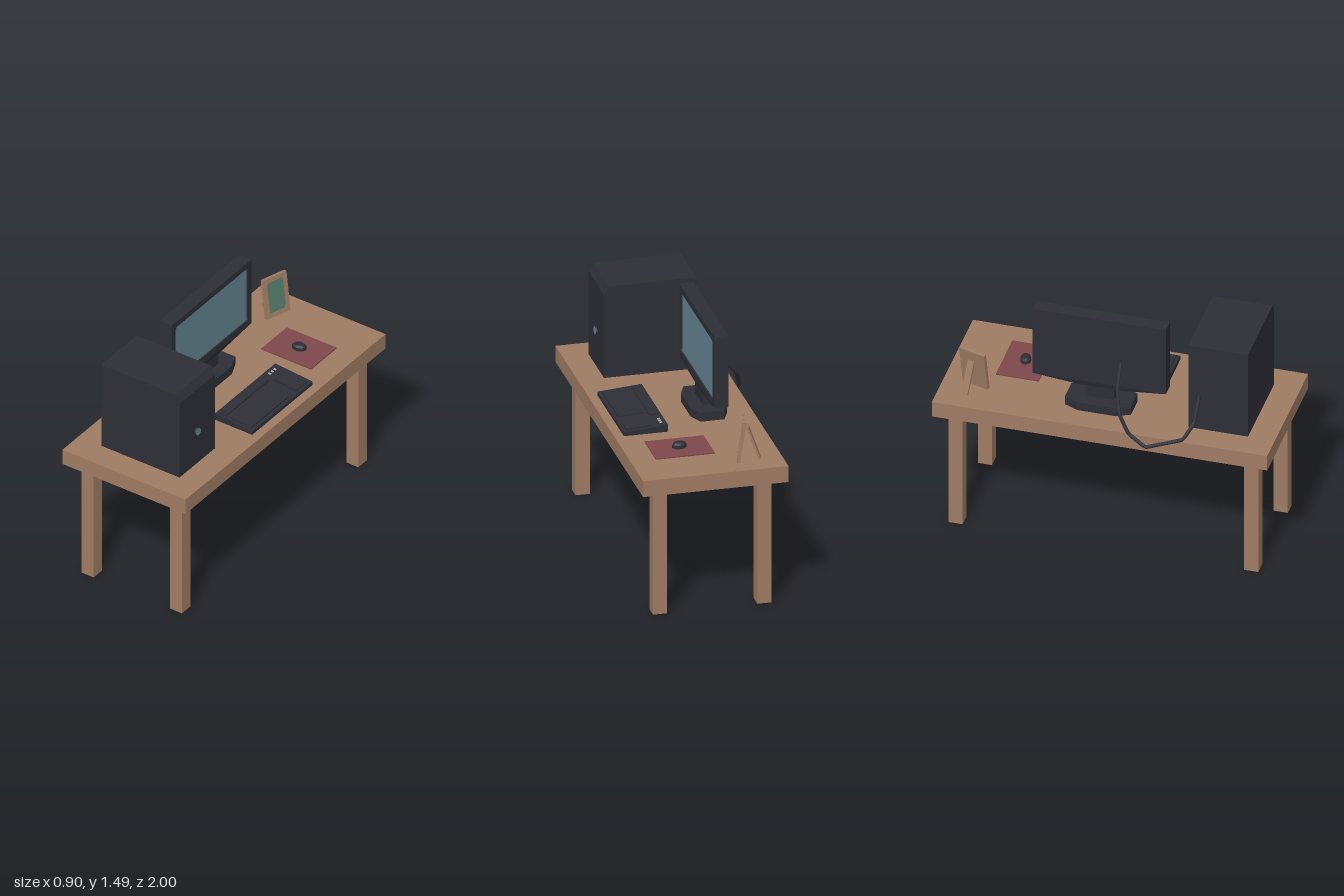
import * as THREE from 'three';

const mat = (name, color, side = THREE.FrontSide) => {
  const m = new THREE.MeshStandardMaterial({ color, side });
  m.name = name;
  return m;
};

export function createModel() {
  const wood = mat('wood', 0x9f7b63);
  const dark = mat('dark plastic', 0x2e2e37);
  const glass = mat('screen blue', 0x62838f);
  const padRed = mat('pad red', 0x7d474a);
  const photoGreen = mat('photo green', 0x537b69);
  const light = mat('indicator grey', 0xb4b6b8);
  const TOP = 0.877; // table surface height

  const root = new THREE.Group();
  root.name = 'computerDesk';

  const add = (parent, name, geometry, material, x = 0, y = 0, z = 0) => {
    const mesh = new THREE.Mesh(geometry, material);
    mesh.name = name;
    mesh.position.set(x, y, z);
    parent.add(mesh);
    return mesh;
  };
  // Box given by its limits on each axis
  const box = (parent, name, material, [x0, x1], [y0, y1], [z0, z1]) =>
    add(parent, name, new THREE.BoxGeometry(x1 - x0, y1 - y0, z1 - z0), material,
      (x0 + x1) / 2, (y0 + y1) / 2, (z0 + z1) / 2);
  const group = (name, x = 0, y = 0, z = 0) => {
    const g = new THREE.Group();
    g.name = name;
    g.position.set(x, y, z);
    root.add(g);
    return g;
  };
  const poly = pts => pts.map(p => new THREE.Vector2(...p));
  const extrude = (pts, depth, hole) => {
    const shape = new THREE.Shape(poly(pts));
    if (hole) shape.holes.push(new THREE.Path(poly(hole)));
    return new THREE.ExtrudeGeometry(shape, { depth, bevelEnabled: false });
  };
  // Rectangle with cut corners, centred on the origin
  const cutRect = (w, h, c) => {
    const a = w / 2, b = h / 2;
    return [[-a + c, -b], [a - c, -b], [a, -b + c], [a, b - c], [a - c, b], [-a + c, b], [-a, b - c], [-a, -b + c]];
  };

  // Table
  box(root, 'tableTop', wood, [-0.415, 0.447], [0.777, TOP], [-1, 1]);
  for (const x of [-0.292, 0.327])
    for (const z of [-0.882, 0.882])
      box(root, 'tableLeg', wood, [x - 0.042, x + 0.042], [0, 0.777], [z - 0.042, z + 0.042]);

  // Computer tower with a chamfered upper front edge
  const tower = group('computerTower');
  add(tower, 'towerCase', extrude(
    [[-0.255, TOP], [0.293, TOP], [0.293, 1.397], [0.262, 1.447], [-0.255, 1.447]], 0.355), dark, 0, 0, 0.485);
  const rim = add(tower, 'powerButtonRim', new THREE.CylinderGeometry(0.024, 0.028, 0.008, 12), dark, 0.297, 1.1, 0.663);
  const button = add(tower, 'powerButton', new THREE.CylinderGeometry(0.023, 0.023, 0.003, 12), glass, 0.302, 1.1, 0.663);
  rim.rotation.z = button.rotation.z = -Math.PI / 2;

  // Monitor, built facing +z and turned to face +x
  const monitor = group('monitor', -0.157, 0, -0.063);
  monitor.rotation.y = Math.PI / 2;
  box(monitor, 'monitorBack', dark, [-0.398, 0.398], [1.04, 1.487], [-0.043, 0.03]);
  add(monitor, 'monitorBezel', extrude(
    cutRect(0.796, 0.447, 0.001), 0.012, cutRect(0.722, 0.368, 0.014)), dark, 0, 1.2635, 0.03);
  add(monitor, 'screen', extrude(cutRect(0.722, 0.368, 0.014), 0.004), glass, 0, 1.2635, 0.03);
  // Underside tapers in toward the neck
  const chin = new THREE.BoxGeometry(0.796, 0.035, 0.085);
  const p = chin.attributes.position;
  for (let i = 0; i < p.count; i++)
    if (p.getY(i) < 0) {
      p.setX(i, p.getX(i) * 0.3);
      p.setZ(i, p.getZ(i) * 0.75);
    }
  chin.computeVertexNormals();
  add(monitor, 'monitorChin', chin, dark, 0, 1.0225, 0);
  box(monitor, 'monitorNeck', dark, [-0.088, 0.088], [0.925, 1.01], [-0.03, 0.03]);
  const foot = add(monitor, 'monitorBase', extrude(
    [[-0.197, -0.07], [-0.11, -0.108], [0.11, -0.108], [0.197, -0.07],
      [0.197, 0.07], [0.11, 0.108], [-0.11, 0.108], [-0.197, 0.07]], 0.055), dark, 0, TOP, 0);
  foot.rotation.x = -Math.PI / 2;
  foot.position.z = 0;

  // Keyboard: wedge body with raised key fields on the sloping top
  const keyboard = group('keyboard');
  add(keyboard, 'keyboardBody', extrude(
    [[0.13, TOP], [0.392, TOP], [0.392, 0.9], [0.13, 0.92]], 0.605), dark, 0, 0, -0.35);
  const keys = new THREE.Group();
  keys.name = 'keyFields';
  keys.position.set(0.261, 0.91, 0);
  keys.rotation.z = -0.076;
  keyboard.add(keys);
  box(keys, 'mainKeys', dark, [-0.045, 0.11], [-0.005, 0.009], [-0.14, 0.235]);
  box(keys, 'numberKeys', dark, [-0.045, 0.11], [-0.005, 0.009], [-0.33, -0.215]);
  box(keys, 'functionKeys', dark, [-0.115, -0.065], [-0.005, 0.009], [-0.19, 0.235]);
  for (const z of [-0.302, -0.276, -0.25])
    box(keys, 'indicatorLight', light, [-0.108, -0.092], [-0.002, 0.004], [z - 0.006, z + 0.006]);

  // Mouse and pad
  box(root, 'mousePad', padRed, [-0.05, 0.299], [TOP, 0.884], [-0.722, -0.466]);
  const mouse = group('mouse', 0.127, 0.884, -0.594);
  mouse.rotation.y = 0.2;
  add(mouse, 'mouseBody', new THREE.CylinderGeometry(0.043, 0.045, 0.02, 9), dark, 0, 0.01, 0).scale.z = 0.72;
  add(mouse, 'mouseTop', new THREE.CylinderGeometry(0.03, 0.043, 0.012, 9), dark, 0, 0.026, 0).scale.z = 0.72;

  // Photo frame leaning back on its strut
  const photo = group('photoFrame', -0.173, TOP, -0.805);
  photo.rotation.y = 1.266;
  const panel = new THREE.Group();
  panel.name = 'framePanel';
  panel.rotation.x = -0.15;
  photo.add(panel);
  box(panel, 'frameBack', wood, [-0.085, 0.085], [0, 0.255], [-0.01, 0.004]);
  add(panel, 'frameBorder', extrude(
    cutRect(0.17, 0.255, 0.001), 0.008, cutRect(0.118, 0.203, 0.01)), wood, 0, 0.1275, 0.004);
  add(panel, 'photograph', extrude(cutRect(0.118, 0.203, 0.01), 0.003), photoGreen, 0, 0.1275, 0.004);
  const strut = add(photo, 'frameStrut', new THREE.BoxGeometry(0.042, 0.205, 0.012), wood, 0, 0.097, -0.083);
  strut.rotation.x = 0.344;

  // Cable hanging behind the table from monitor to tower
  const path = new THREE.CatmullRomCurve3([
    [-0.19, 1.2, 0.06], [-0.31, 1.095, 0.075], [-0.395, 0.995, 0.11], [-0.428, 0.89, 0.175],
    [-0.439, 0.82, 0.28], [-0.413, 0.895, 0.495], [-0.33, 0.965, 0.54], [-0.25, 1.11, 0.55],
  ].map(v => new THREE.Vector3(...v)), false, 'catmullrom', 0.05);
  add(root, 'cable', new THREE.TubeGeometry(path, 48, 0.011, 6), dark);

  return root;
}
